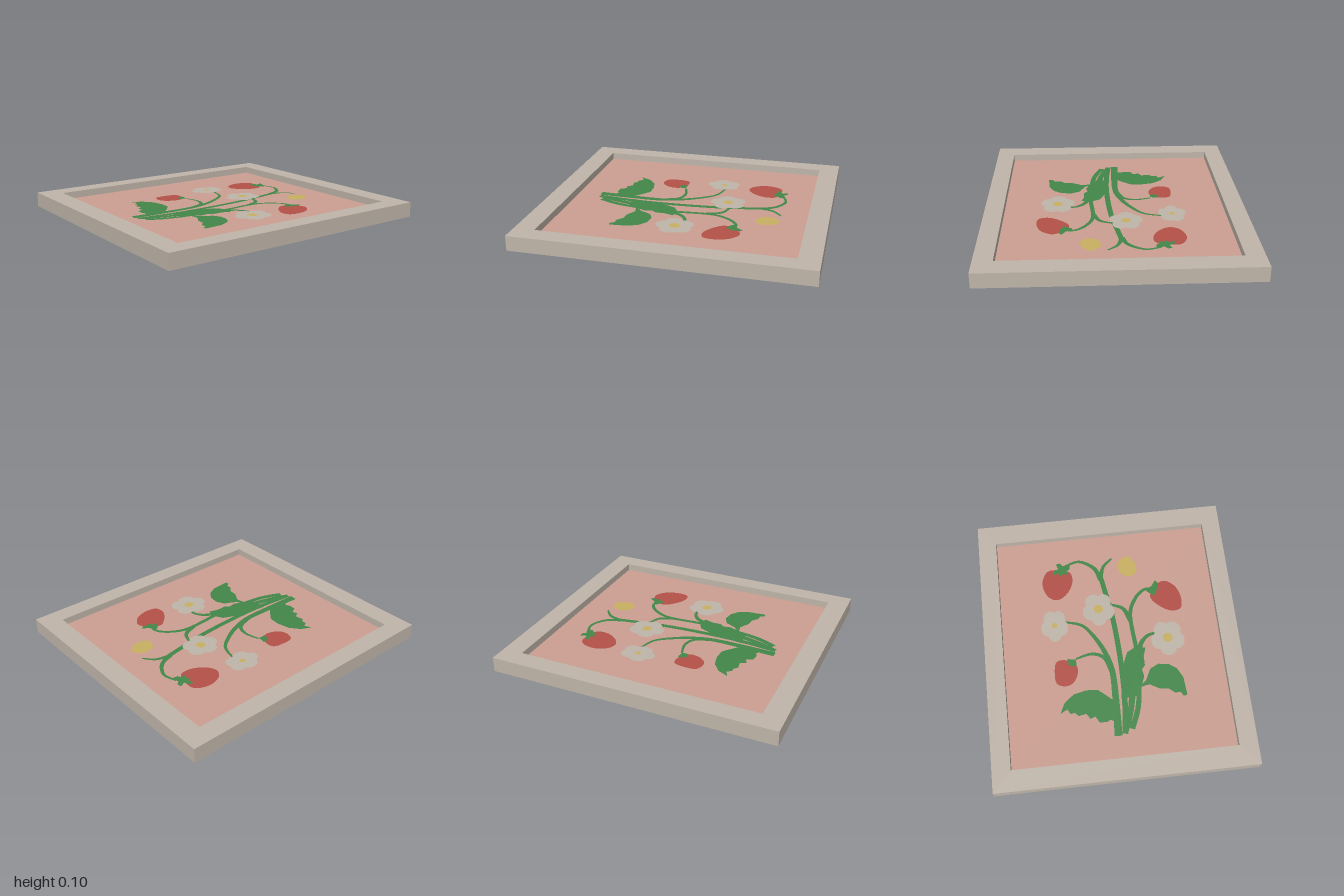
import * as THREE from 'three';

const mat = (name, color) => {
  const m = new THREE.MeshStandardMaterial({ color });
  m.name = name;
  return m;
};

export function createModel() {
  const frameMat = mat('warm grey frame', 0xbfb4a9);
  const pinkMat = mat('pink panel', 0xcb9f91);
  const greenMat = mat('leaf green', 0x43874a);
  const redMat = mat('berry red', 0xb45048);
  const petalMat = mat('petal grey', 0xbfb5aa);
  const yellowMat = mat('pollen yellow', 0xc8b062);

  const W = 1.82, D = 2, H = 0.105, IW = 1.56, ID = 1.71, FLOOR = 0.055;
  const model = new THREE.Group();
  model.name = 'framedPicture';

  const add = (name, geometry, material, y = 0) => {
    const mesh = new THREE.Mesh(geometry, material);
    mesh.name = name;
    mesh.position.y = y;
    model.add(mesh);
    return mesh;
  };

  // Outlines are given as [x, z] and laid flat, facing up
  const flat = (points) =>
    new THREE.ShapeGeometry(new THREE.Shape(points)).rotateX(-Math.PI / 2);
  const vec = ([x, z]) => new THREE.Vector2(x, -z);
  const layer = (n) => FLOOR + 0.0015 * n;

  // Smooth closed blob through a few points
  const blob = (name, pts, material, n) => {
    const curve = new THREE.CatmullRomCurve3(
      pts.map(([x, z]) => new THREE.Vector3(x, -z, 0)), true);
    const outline = curve.getPoints(pts.length * 6).slice(0, -1)
      .map((p) => new THREE.Vector2(p.x, p.y));
    add(name, flat(outline), material, layer(n));
  };

  // Sharp-cornered outline
  const facet = (name, pts, material, n) =>
    add(name, flat(pts.map(vec)), material, layer(n));

  // Ribbon along a spline, tapering from width w0 to w1
  const stem = (name, pts, w0, w1) => {
    const curve = new THREE.SplineCurve(pts.map(vec));
    const left = [], right = [], N = 28;
    for (let i = 0; i <= N; i++) {
      const t = i / N, p = curve.getPoint(t), d = curve.getTangent(t);
      const h = (w0 + (w1 - w0) * t) / 2;
      left.push(new THREE.Vector2(p.x - d.y * h, p.y + d.x * h));
      right.unshift(new THREE.Vector2(p.x + d.y * h, p.y - d.x * h));
    }
    add(name, flat([...left, ...right]), greenMat, layer(1));
  };

  // Frame with rectangular opening
  const rect = (Type, w, d) => new Type([[-w, -d], [w, -d], [w, d], [-w, d]]
    .map(([x, y]) => new THREE.Vector2(x / 2, y / 2)));
  const frameShape = rect(THREE.Shape, W, D);
  frameShape.holes.push(rect(THREE.Path, IW, ID));
  add('frame', new THREE.ExtrudeGeometry(frameShape, { depth: H, bevelEnabled: false })
    .rotateX(-Math.PI / 2), frameMat);

  // Backing board and painted panel
  add('backing', new THREE.BoxGeometry(IW, 0.05, ID), frameMat, 0.025);
  add('panel', new THREE.BoxGeometry(IW, 0.005, ID), pinkMat, 0.0525);

  // Stems, from root to tip
  stem('leftStem', [[-0.03, 0.69], [-0.02, 0.45], [-0.02, 0.23], [-0.055, 0.08],
    [-0.12, -0.05], [-0.2, -0.15], [-0.32, -0.19]], 0.055, 0.015);
  stem('middleStem', [[0.02, 0.68], [0.045, 0.4], [0.045, 0.1], [0.025, -0.2],
    [-0.005, -0.39], [-0.03, -0.54]], 0.04, 0.035);
  stem('rightStem', [[0.07, 0.65], [0.13, 0.5], [0.16, 0.3], [0.17, 0.1], [0.155, -0.18],
    [0.2, -0.31], [0.28, -0.385], [0.36, -0.38]], 0.04, 0.02);
  stem('innerStem', [[0.02, 0.68], [0.07, 0.54], [0.11, 0.36]], 0.03, 0.05);
  stem('upperLeftBranch', [[-0.03, -0.5], [-0.06, -0.585], [-0.12, -0.64],
    [-0.19, -0.665], [-0.28, -0.64]], 0.035, 0.015);
  stem('upperRightBranch', [[-0.03, -0.5], [0, -0.6], [0.07, -0.665]], 0.035, 0.012);
  stem('centreFlowerBranch', [[0.155, -0.15], [0.11, -0.25], [0.03, -0.29]], 0.04, 0.016);
  stem('rightFlowerBranch', [[0.17, 0.14], [0.21, 0.03], [0.27, -0.025], [0.34, -0.035]], 0.04, 0.016);
  stem('lowerBerryBranch', [[-0.025, 0.22], [-0.07, 0.11], [-0.16, 0.075], [-0.27, 0.1]], 0.035, 0.014);

  // Leaves
  facet('leftLeaf', [[-0.415, 0.49], [-0.38, 0.415], [-0.31, 0.36], [-0.22, 0.34], [-0.14, 0.345],
    [-0.085, 0.39], [-0.03, 0.44], [-0.04, 0.59], [-0.07, 0.57], [-0.1, 0.585], [-0.15, 0.58],
    [-0.175, 0.535], [-0.21, 0.55], [-0.235, 0.51], [-0.29, 0.52], [-0.315, 0.495],
    [-0.345, 0.5], [-0.365, 0.465]], greenMat, 1);
  facet('middleLeaf', [[0.04, 0.23], [0.1, 0.09], [0.17, 0.05], [0.235, 0.07], [0.215, 0.13],
    [0.215, 0.2], [0.19, 0.23], [0.2, 0.28], [0.17, 0.36], [0.13, 0.42], [0.02, 0.43]], greenMat, 1);
  facet('rightLeaf', [[0.15, 0.36], [0.21, 0.31], [0.25, 0.23], [0.31, 0.2], [0.385, 0.21],
    [0.44, 0.25], [0.475, 0.32], [0.485, 0.45], [0.46, 0.455], [0.44, 0.425], [0.4, 0.425],
    [0.36, 0.39], [0.3, 0.385], [0.23, 0.345]], greenMat, 1);

  // Berries
  blob('upperLeftBerry', [[-0.41, -0.61], [-0.33, -0.61], [-0.25, -0.58], [-0.24, -0.5],
    [-0.29, -0.41], [-0.36, -0.37], [-0.42, -0.395], [-0.46, -0.48], [-0.45, -0.56]], redMat, 2);
  blob('rightBerry', [[0.35, -0.39], [0.43, -0.44], [0.51, -0.39], [0.545, -0.29],
    [0.53, -0.21], [0.465, -0.195], [0.37, -0.25], [0.32, -0.32]], redMat, 2);
  blob('lowerLeftBerry', [[-0.41, 0.11], [-0.35, 0.1], [-0.27, 0.15], [-0.27, 0.22],
    [-0.31, 0.28], [-0.365, 0.295], [-0.42, 0.27], [-0.43, 0.2]], redMat, 2);
  blob('yellowBud', [[0.12, -0.63], [0.18, -0.67], [0.235, -0.62], [0.245, -0.55],
    [0.2, -0.505], [0.13, -0.53], [0.11, -0.58]], yellowMat, 2);

  // Berry caps
  facet('upperLeftCap', [[-0.35, -0.66], [-0.32, -0.665], [-0.3, -0.64], [-0.245, -0.65],
    [-0.25, -0.61], [-0.275, -0.595], [-0.27, -0.565], [-0.305, -0.575], [-0.32, -0.555],
    [-0.335, -0.585], [-0.375, -0.57], [-0.37, -0.605], [-0.335, -0.62]], greenMat, 3);
  facet('rightCap', [[0.3, -0.39], [0.34, -0.405], [0.37, -0.45], [0.39, -0.43], [0.38, -0.4],
    [0.39, -0.37], [0.365, -0.365], [0.365, -0.33], [0.335, -0.34], [0.3, -0.365]], greenMat, 3);
  facet('lowerLeftCap', [[-0.33, 0.095], [-0.3, 0.1], [-0.27, 0.105], [-0.27, 0.15],
    [-0.3, 0.155], [-0.325, 0.14]], greenMat, 3);

  // Five-petalled flowers
  for (const [name, x, z, rx, rz, core] of [
    ['leftFlower', -0.4, -0.17, 0.1, 0.125, 0.02],
    ['centreFlower', -0.07, -0.265, 0.118, 0.13, 0.033],
    ['rightFlower', 0.405, 0.01, 0.123, 0.135, 0.035],
  ]) {
    const outline = [];
    for (let i = 0; i < 80; i++) {
      const a = (i / 80) * Math.PI * 2;
      const r = 0.72 + 0.28 * Math.sqrt(Math.abs(Math.cos(2.5 * (a - Math.PI / 2 - 0.05))));
      outline.push([x + Math.cos(a) * r * rx, z + Math.sin(a) * r * rz]);
    }
    facet(name, outline, petalMat, 4);
    const centre = add(name + 'Centre', new THREE.CircleGeometry(core, 20)
      .rotateX(-Math.PI / 2), yellowMat, layer(5));
    centre.position.x = x;
    centre.position.z = z;
  }
  return model;
}
